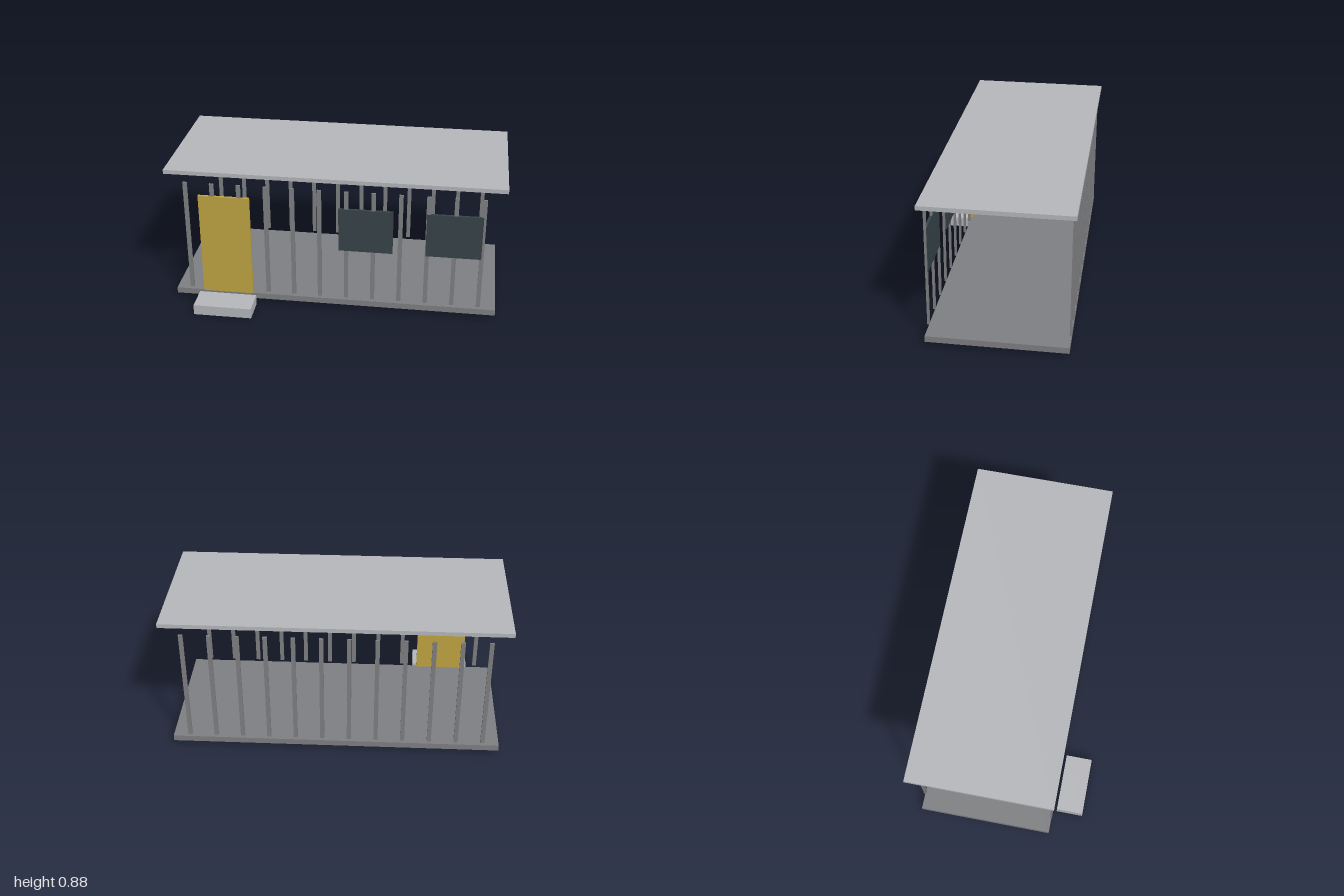
import * as THREE from 'three';

const material = (name, color) => {
  const m = new THREE.MeshStandardMaterial({ color });
  m.name = name;
  return m;
};

export function createModel() {
  const group = new THREE.Group();
  const lightGrey = material('light grey', 0xb8b9bd);
  const midGrey = material('mid grey', 0x808184);
  const ochre = material('ochre', 0xc2a642);
  const slate = material('dark slate', 0x38444a);

  // Box given by its extents along x, y and z
  const addBox = (name, mat, [x0, x1], [y0, y1], [z0, z1]) => {
    const mesh = new THREE.Mesh(new THREE.BoxGeometry(x1 - x0, y1 - y0, z1 - z0), mat);
    mesh.position.set((x0 + x1) / 2, (y0 + y1) / 2, (z0 + z1) / 2);
    mesh.name = name;
    group.add(mesh);
  };

  // Floor slab, floating roof and entrance step
  addBox('floor', midGrey, [-0.98, 0.98], [0.027, 0.064], [-0.488, 0.32]);
  addBox('roof', lightGrey, [-1, 1], [0.853, 0.878], [-0.506, 0.337]);
  addBox('step', lightGrey, [-0.828, -0.475], [0, 0.064], [0.344, 0.506]);

  // Wall studs, one row at the front and one at the back
  const studs = 12, firstX = -0.88, spacing = 0.1596;
  for (const [name, z] of [['frontStud', 0.318], ['backStud', -0.485]]) {
    for (let i = 0; i < studs; i++) {
      const x = firstX + i * spacing;
      addBox(name, midGrey, [x - 0.0125, x + 0.0125], [0.083, 0.797], [z - 0.006, z + 0.006]);
    }
  }

  // Door and windows, slightly thicker than the studs
  const wall = [0.31, 0.326];
  addBox('door', ochre, [-0.806, -0.498], [0.064, 0.716], wall);
  addBox('window', slate, [0.032, 0.354], [0.41, 0.685], wall);
  addBox('window', slate, [0.548, 0.874], [0.41, 0.685], wall);

  return group;
}
